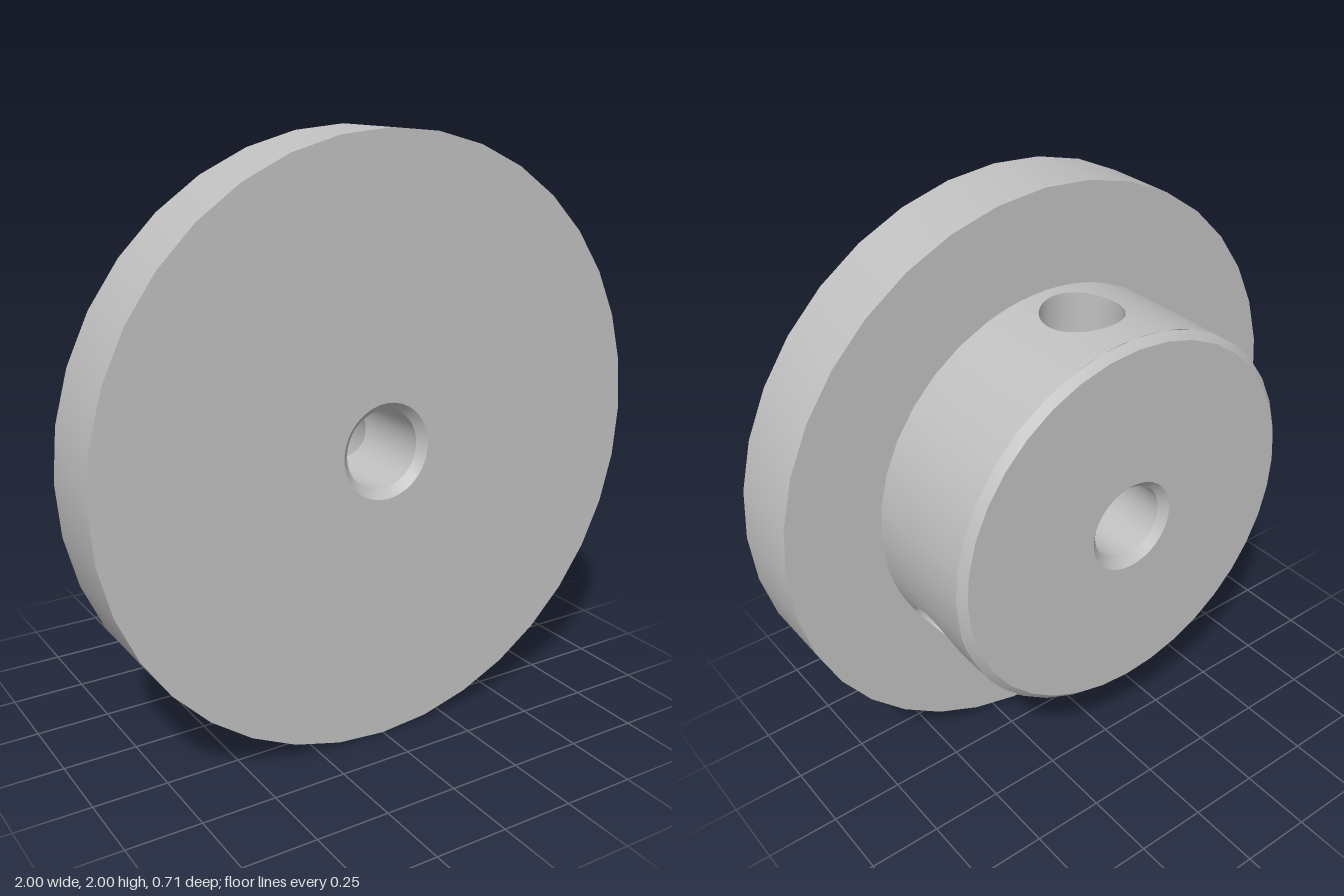
import * as THREE from 'three';
import { mergeGeometries, mergeVertices } from 'three/addons/utils/BufferGeometryUtils.js';

const BORE = 0.133;          // bore and screw holes share one radius
const HUB = 0.665;           // hub radius
const HUB_BACK = -0.33, HUB_FRONT = 0.09;
const HOLE_Z = -0.09;        // screw hole centre along the axis
const DEG = Math.PI / 180;
// side: where the neighbouring hole lies (+1 = counter-clockwise)
const HOLES = [{ angle: 90 * DEG, side: -1 }, { angle: -30 * DEG, side: 1 }];

const polar = (r, a, z) => [r * Math.cos(a), r * Math.sin(a), z];
const lerp = THREE.MathUtils.lerp;

// Grid surface from fn(u, v), u and v in 0..1; it faces along dP/du x dP/dv
function surface(nu, nv, fn) {
  const pos = [], index = [];
  for (let j = 0; j <= nv; j++)
    for (let i = 0; i <= nu; i++) pos.push(...fn(i / nu, j / nv));
  for (let j = 0; j < nv; j++)
    for (let i = 0; i < nu; i++) {
      const a = j * (nu + 1) + i, b = a + 1, c = a + nu + 1, d = c + 1;
      index.push(a, b, d, a, d, c);
    }
  const g = new THREE.BufferGeometry();
  g.setAttribute('position', new THREE.Float32BufferAttribute(pos, 3));
  g.setIndex(index);
  return g;
}

function smooth(g) {
  const m = mergeVertices(g, 1e-5);
  m.computeVertexNormals();
  return m;
}

// Normals pointing away from (sign 1) or towards (sign -1) the main axis
function radialNormals(g, sign) {
  const p = g.attributes.position, n = [];
  for (let i = 0; i < p.count; i++) {
    const l = Math.hypot(p.getX(i), p.getY(i)) * sign;
    n.push(p.getX(i) / l, p.getY(i) / l, 0);
  }
  g.setAttribute('normal', new THREE.Float32BufferAttribute(n, 3));
  return g;
}

// Revolved band between two profile points
const band = (r0, z0, r1, z1) => smooth(surface(36, 1, (u, v) =>
  polar(lerp(r0, r1, v), u * Math.PI * 2, lerp(z0, z1, v))));

// Plain part of the hub wall between two angles in degrees
const wallArc = (from, to) => surface((to - from) / 10, 1, (u, v) =>
  polar(HUB, lerp(from, to, u) * DEG, lerp(HUB_BACK, HUB_FRONT, v)));

// Hub wall patch around a screw hole, from round edge to square border
function wallPatch(angle) {
  const clamp = (x) => Math.max(-1, Math.min(1, x * Math.SQRT2));
  const mid = (HUB_BACK + HUB_FRONT) / 2, half = (HUB_FRONT - HUB_BACK) / 2;
  return surface(40, 4, (u, v) => {
    const c = Math.cos(-u * Math.PI * 2), s = Math.sin(-u * Math.PI * 2);
    const a = lerp(Math.asin(BORE * c / HUB), clamp(c) * 20 * DEG, v);
    return polar(HUB, angle + a, lerp(HOLE_Z + BORE * s, mid + half * clamp(s), v));
  });
}

// Screw hole wall, trimmed where it meets the bore and the other hole
function holeWall({ angle, side }) {
  const ex = Math.cos(angle), ey = Math.sin(angle);
  return smooth(surface(48, 4, (u, v) => {
    const c = Math.cos(-u * Math.PI * 2), s = Math.sin(-u * Math.PI * 2);
    const inner = BORE * Math.max(Math.abs(s), side * c * Math.tan(30 * DEG));
    const h = lerp(inner, Math.sqrt(HUB * HUB - BORE * BORE * c * c), v);
    const t = BORE * c;
    return [ex * h - ey * t, ey * h + ex * t, HOLE_Z + BORE * s];
  }));
}

// Half of the bore wall, cut away where the screw holes enter
function boreHalf(z, dir) {
  return surface(72, 2, (u, v) => {
    const a = -u * Math.PI * 2;
    const open = BORE * Math.max(0, ...HOLES.map((h) => Math.cos(a - h.angle)));
    const edge = HOLE_Z + dir * open;
    return polar(BORE, a, dir < 0 ? lerp(z, edge, v) : lerp(edge, z, v));
  });
}

export function createModel() {
  const metal = new THREE.MeshStandardMaterial({ color: 0xc0c0c0, side: THREE.DoubleSide });
  metal.name = 'greyMetal';
  const group = new THREE.Group();
  group.name = 'flangedHub';
  const body = new THREE.Group();
  body.name = 'body';
  body.position.y = 1;
  group.add(body);
  const add = (name, geometry) => {
    const mesh = new THREE.Mesh(geometry, metal);
    mesh.name = name;
    body.add(mesh);
  };

  // Flange disc
  add('flangeBack', band(HUB, HUB_FRONT, 1, HUB_FRONT));
  add('flangeRim', band(1, HUB_FRONT, 1, 0.355));
  add('flangeFront', band(1, 0.355, 0.16, 0.355));

  // Hub
  add('hubBack', band(0.16, -0.355, 0.64, -0.355));
  add('hubChamfer', band(0.64, -0.355, HUB, HUB_BACK));
  add('hubWall', radialNormals(mergeGeometries([
    wallArc(-10, 70), wallArc(110, 310), ...HOLES.map((h) => wallPatch(h.angle)),
  ]), 1));

  // Bore with a countersink at each end
  add('boreChamferFront', band(0.16, 0.355, BORE, 0.328));
  add('boreChamferBack', band(BORE, -0.328, 0.16, -0.355));
  add('bore', radialNormals(mergeGeometries([boreHalf(-0.328, -1), boreHalf(0.328, 1)]), -1));

  // Radial screw holes
  HOLES.forEach((h, i) => add('screwHole' + (i + 1), holeWall(h)));
  return group;
}
